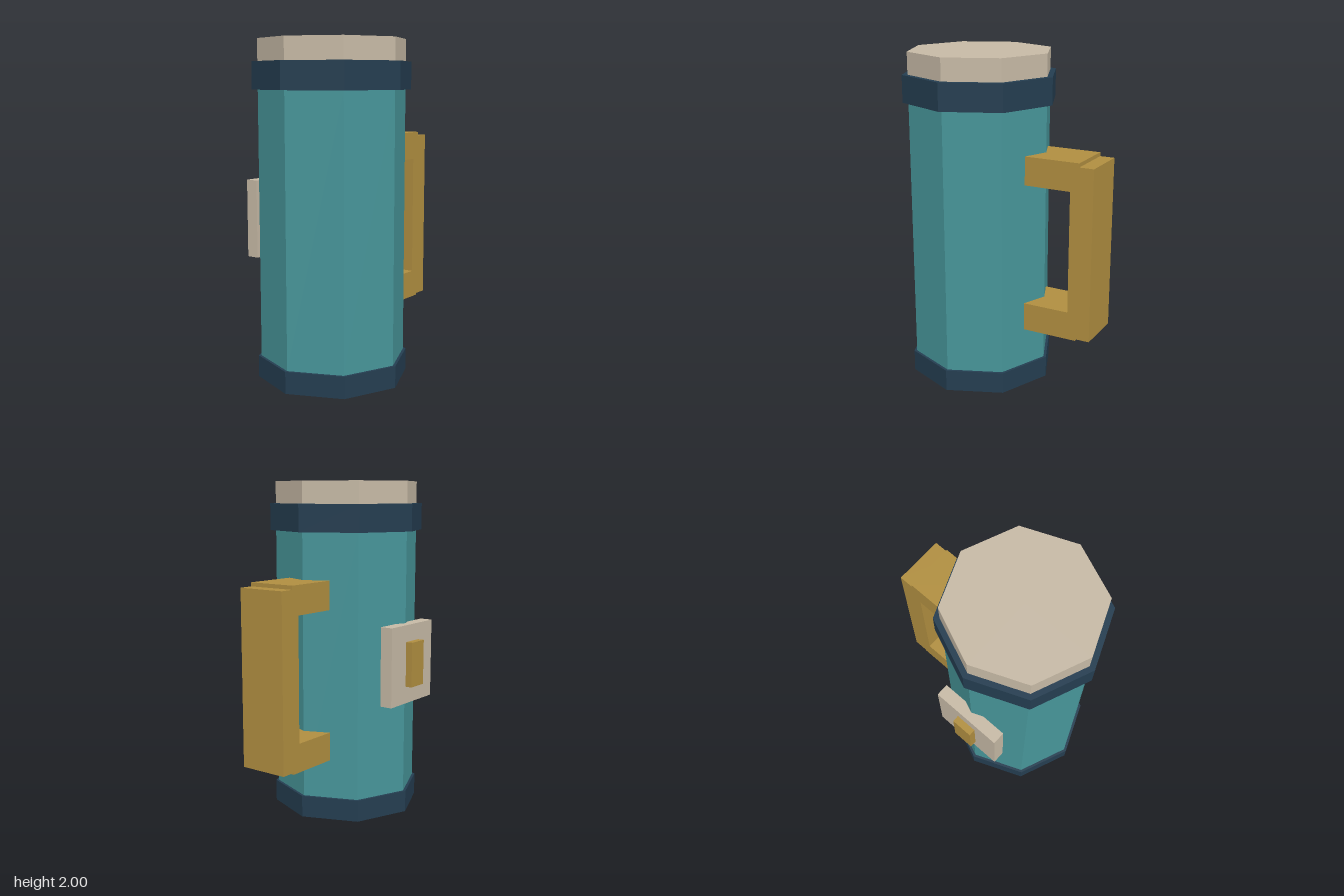
import * as THREE from 'three';

export function createModel() {
  const model = new THREE.Group();
  model.name = 'flask';

  const material = (name, color) => {
    const m = new THREE.MeshStandardMaterial({ color });
    m.name = name;
    return m;
  };
  const teal = material('teal', 0x479599);
  const navy = material('navy', 0x243d50);
  const cream = material('cream', 0xc6b9a5);
  const gold = material('gold', 0xb08e40);

  const axisX = -0.165, axisZ = 0.026;

  const add = (name, geometry, mat, x, y, z) => {
    const mesh = new THREE.Mesh(geometry, mat);
    mesh.name = name;
    mesh.position.set(x, y, z);
    model.add(mesh);
  };

  // Eight-sided prism around the flask axis, with corners on the x and z axes
  const prism = (name, radius, y0, y1, mat) => {
    const geometry = new THREE.CylinderGeometry(radius, radius, y1 - y0, 8).toNonIndexed();
    geometry.computeVertexNormals();
    add(name, geometry, mat, axisX, (y0 + y1) / 2, axisZ);
  };

  // Box given by its extents
  const box = (name, [x0, x1], [y0, y1], [z0, z1], mat) =>
    add(name, new THREE.BoxGeometry(x1 - x0, y1 - y0, z1 - z0), mat,
      (x0 + x1) / 2, (y0 + y1) / 2, (z0 + z1) / 2);

  // Flask, from the ground up
  prism('base', 0.45, 0, 0.13, navy);
  prism('body', 0.433, 0.13, 1.71, teal);
  prism('collar', 0.467, 1.71, 1.87, navy);
  prism('lid', 0.433, 1.87, 2, cream);

  // Handle on the left side
  const handleZ = [axisZ - 0.15, axisZ + 0.15];
  box('upperHandleArm', [0.203, 0.542], [1.265, 1.435], handleZ, gold);
  box('lowerHandleArm', [0.203, 0.542], [0.363, 0.533], handleZ, gold);
  box('handleGrip', [0.49, 0.63], [0.374, 1.412], handleZ, gold);

  // Plate and button on the back
  box('backPlate', [-0.385, 0.053], [0.7, 1.17], [-0.455, -0.379], cream);
  box('backButton', [-0.23, -0.1], [0.802, 1.07], [-0.496, -0.455], gold);

  return model;
}
